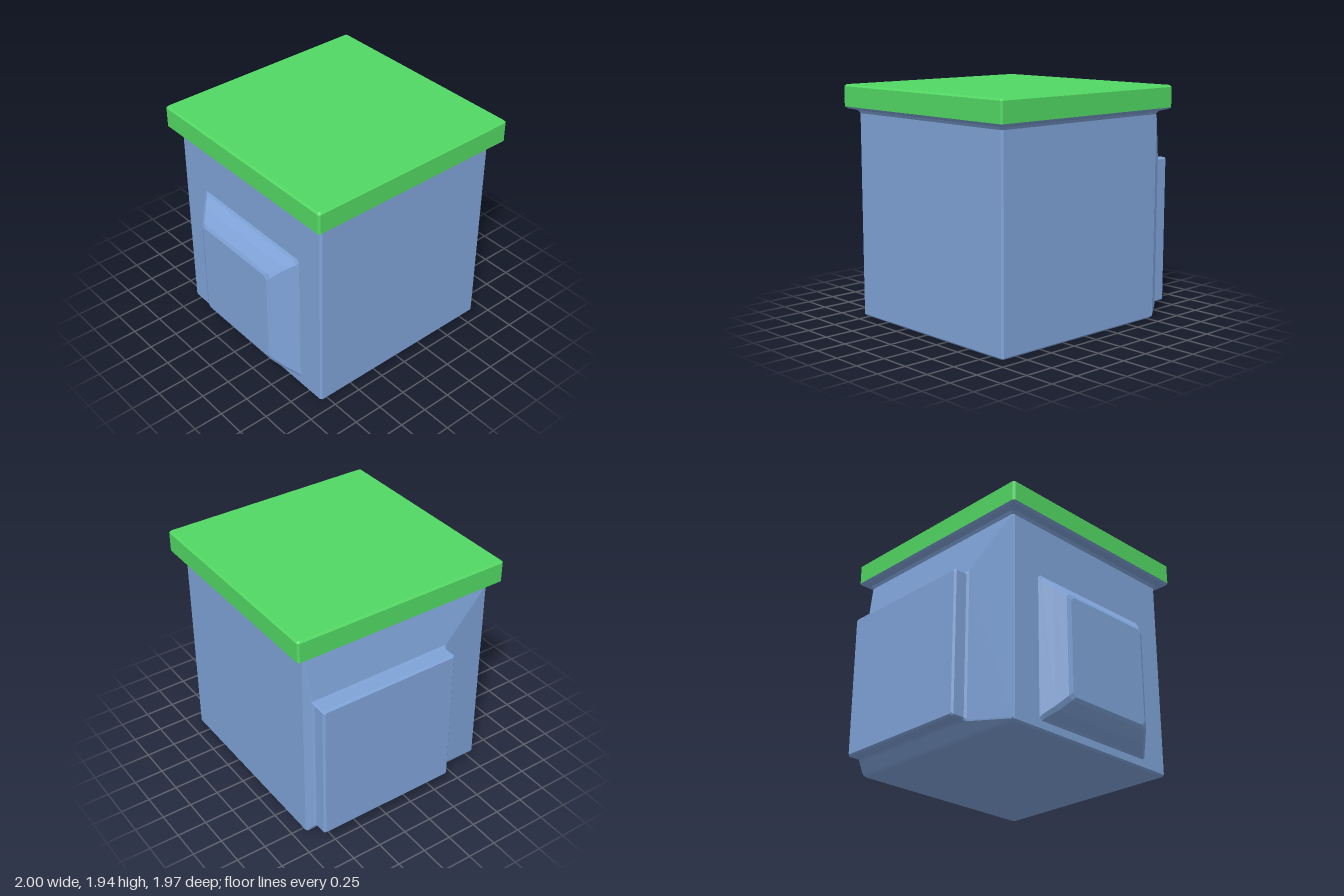
import * as THREE from 'three';

const BLUE = 0x7fa3d8, GREEN = 0x52d863;

// Lofts a stack of chamfered rectangles [w, u0, u1, v0, v1, chamfer] and caps both ends.
// place(u, v, w) turns section coordinates into a point.
function loft(name, color, sections, place) {
  const rings = sections.map(([w, u0, u1, v0, v1, c]) => [
    [u0 + c, v0], [u1 - c, v0], [u1, v0 + c], [u1, v1 - c],
    [u1 - c, v1], [u0 + c, v1], [u0, v1 - c], [u0, v0 + c],
  ].map(([u, v]) => place(u, v, w)));
  const pos = [];
  const tri = (...points) => points.forEach((p) => pos.push(...p));
  for (let i = 0; i + 1 < rings.length; i++) {
    for (let j = 0; j < 8; j++) {
      const k = (j + 1) % 8, a = rings[i], b = rings[i + 1];
      tri(a[j], a[k], b[k]);
      tri(a[j], b[k], b[j]);
    }
  }
  const first = rings[0], last = rings[rings.length - 1];
  for (let j = 1; j < 7; j++) {
    tri(first[0], first[j + 1], first[j]);
    tri(last[0], last[j], last[j + 1]);
  }
  const geometry = new THREE.BufferGeometry();
  geometry.setAttribute('position', new THREE.Float32BufferAttribute(pos, 3));
  geometry.computeVertexNormals();
  const mesh = new THREE.Mesh(geometry, new THREE.MeshStandardMaterial({ color, flatShading: true }));
  mesh.name = name;
  return mesh;
}

const alongY = (z, x, y) => [x, y, z];
const alongZ = (x, y, z) => [x, y, z];
const alongLeft = (z, y, d) => [-d, y, z];

export function createModel() {
  const group = new THREE.Group();
  group.name = 'liddedBox';

  // Box body, flaring out at the top to meet the lid
  group.add(loft('body', BLUE, [
    [0, -0.88, 0.80, -0.79, 0.89, 0.01],
    [0.015, -0.895, 0.815, -0.81, 0.905, 0.015],
    [1.705, -0.895, 0.815, -0.81, 0.905, 0.015],
    [1.73, -0.91, 0.83, -0.825, 0.92, 0.015],
    [1.745, -0.965, 0.885, -0.87, 0.98, 0.015],
    [1.76, -0.985, 0.905, -0.89, 0.995, 0.015],
  ], alongY));

  // Flat lid with a thin bevel
  group.add(loft('lid', GREEN, [
    [1.76, -0.985, 0.905, -0.89, 0.995, 0.015],
    [1.925, -0.985, 0.905, -0.89, 0.995, 0.015],
    [1.94, -0.97, 0.89, -0.875, 0.98, 0.01],
  ], alongY));

  // Raised front panel with wide sloping edges
  group.add(loft('frontPanel', BLUE, [
    [0.81, -0.545, 0.655, 0.07, 1.285, 0.02],
    [0.83, -0.525, 0.635, 0.095, 1.255, 0.025],
    [0.90, -0.46, 0.565, 0.155, 1.20, 0.03],
    [0.97, -0.39, 0.495, 0.235, 1.12, 0.03],
    [0.985, -0.355, 0.46, 0.265, 1.09, 0.03],
  ], alongZ));

  // Slab on the -x side, growing out of the whole wall
  group.add(loft('sidePanel', BLUE, [
    [0.80, -0.895, 0.815, 0.01, 1.71, 0.01],
    [0.81, -0.89, 0.81, 0.015, 1.705, 0.01],
    [0.868, -0.865, 0.395, 0.095, 1.35, 0.01],
    [0.885, -0.85, 0.38, 0.11, 1.33, 0.012],
    [0.985, -0.85, 0.38, 0.11, 1.33, 0.012],
    [1.0, -0.835, 0.365, 0.125, 1.315, 0.01],
  ], alongLeft));

  return group;
}
